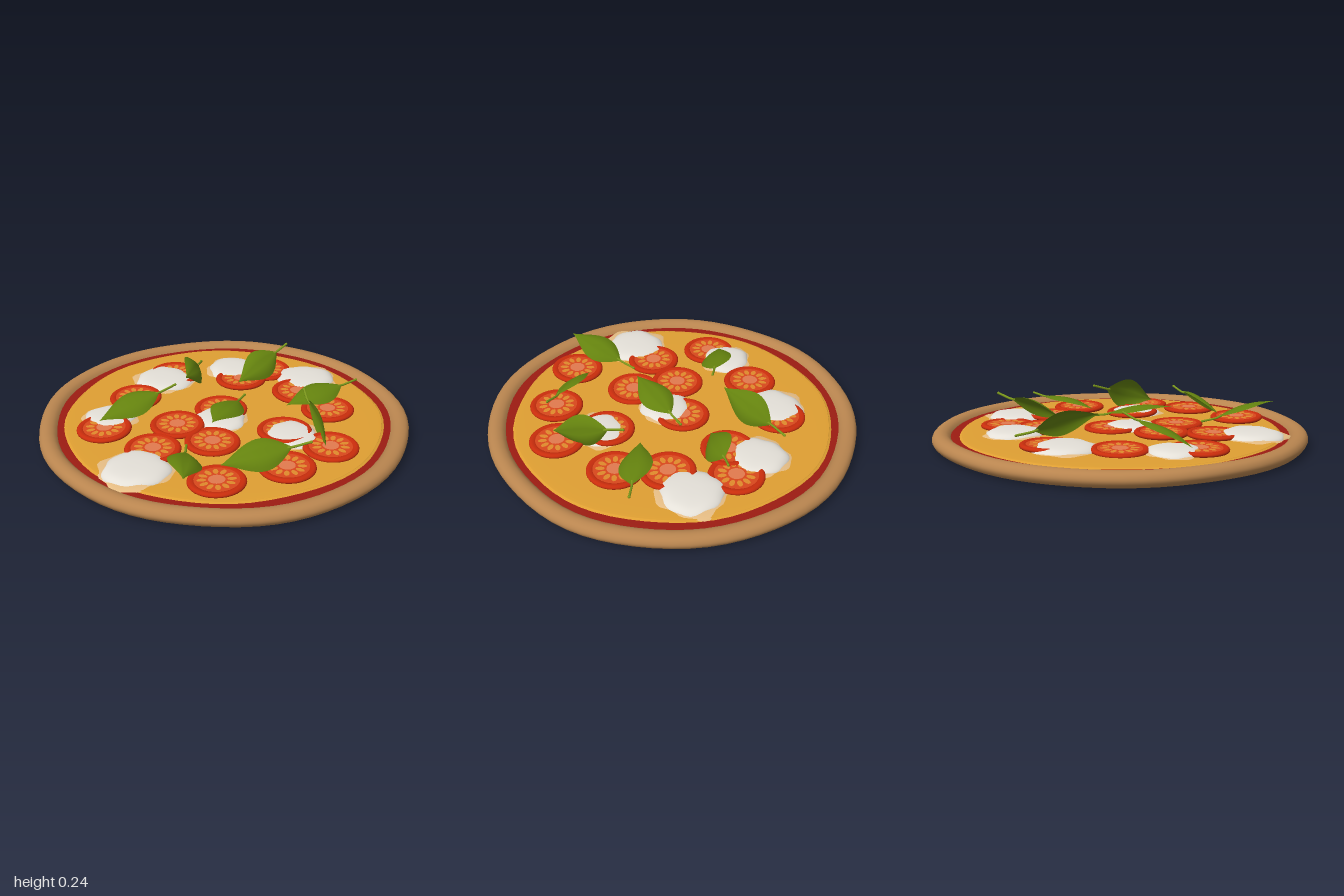
import * as THREE from 'three';
import { mergeGeometries } from 'three/addons/utils/BufferGeometryUtils.js';

const mat = (color, side = THREE.FrontSide) => new THREE.MeshStandardMaterial({ color, side });
const MATS = {
  crust: mat(0xb9854f), base: mat(0x6b4522), sauce: mat(0x9c1c12), cheese: mat(0xdf9f32),
  mozzarella: mat(0xe4e0d8), fringe: mat(0xe6bd84), skin: mat(0xc92d0c), flesh: mat(0xd9481c),
  seeds: mat(0xe08a2c), core: mat(0xe27a4e),
  leaf: mat(0x64820e, THREE.DoubleSide), stem: mat(0x7d9a1c),
};

function add(parent, name, geometry, material, x = 0, y = 0, z = 0) {
  const mesh = new THREE.Mesh(geometry, material);
  mesh.name = name;
  mesh.position.set(x, y, z);
  parent.add(mesh);
  return mesh;
}

// Smooth surface of revolution; profile runs from the bottom outwards, then up and in
function lathe(profile, segments) {
  const curve = new THREE.SplineCurve(profile.map(([r, y]) => new THREE.Vector2(r, y)));
  return new THREE.LatheGeometry(curve.getPoints(profile.length * 3), segments);
}

// Make a round geometry irregular by scaling its radius with the angle
function wobble(geometry, factor) {
  const p = geometry.attributes.position;
  for (let i = 0; i < p.count; i++) {
    const k = factor(Math.atan2(p.getZ(i), p.getX(i)));
    p.setXYZ(i, p.getX(i) * k, p.getY(i), p.getZ(i) * k);
  }
  return geometry;
}

const flatDisc = (radius, segments) => new THREE.CircleGeometry(radius, segments).rotateX(-Math.PI / 2);

// Tomato slice: raised skin ring, flesh, ring of seed pockets, pale core
const skinGeo = lathe([[0.13, 0], [0.143, 0.008], [0.144, 0.018], [0.134, 0.026], [0.118, 0.025], [0.108, 0.02]], 32);
const fleshGeo = flatDisc(0.115, 32);
const coreGeo = flatDisc(0.042, 16);
const seedGeo = mergeGeometries(Array.from({ length: 12 }, (_, i) =>
  flatDisc(1, 10).scale(0.024, 1, 0.014).translate(0.074, 0, 0).rotateY(i * Math.PI / 6)));

function tomato(x, z, i) {
  const g = new THREE.Group();
  g.name = 'tomatoSlice';
  g.position.set(x, 0.059 + 0.003 * (i % 3), z);
  g.rotation.set(0.02 * Math.sin(i * 2.1), i * 0.7, 0.02 * Math.cos(i * 1.7));
  add(g, 'tomatoSkin', skinGeo, MATS.skin);
  add(g, 'tomatoFlesh', fleshGeo, MATS.flesh, 0, 0.0225, 0);
  add(g, 'tomatoSeeds', seedGeo, MATS.seeds, 0, 0.0238, 0);
  add(g, 'tomatoCore', coreGeo, MATS.core, 0, 0.0242, 0);
  return g;
}

// Melted mozzarella: a low dome on a wider, thinner browned fringe
function mozzarella(x, z, r, i) {
  const g = new THREE.Group();
  g.name = 'mozzarella';
  g.position.set(x, 0.06, z);
  const dome = (radius, h) => lathe([[radius, 0], [radius * 0.94, h * 0.4], [radius * 0.75, h * 0.78],
    [radius * 0.4, h * 0.96], [0, h]], 40);
  add(g, 'mozzarellaDome', wobble(dome(r * 0.93, 0.037),
    a => 1 + 0.05 * Math.sin(3 * a + i) + 0.03 * Math.sin(7 * a + 2 * i)), MATS.mozzarella);
  add(g, 'mozzarellaFringe', wobble(dome(r * 1.06, 0.016),
    a => 1 + 0.07 * Math.sin(4 * a + i * 2) + 0.04 * Math.sin(9 * a + i)), MATS.fringe);
  return g;
}

// Basil leaf running from tip to stem end, its upper side towards "facing"
function basilLeaf(tip, stemEnd, facing) {
  const a = new THREE.Vector3(...tip), dir = new THREE.Vector3(...stemEnd).sub(a);
  const length = dir.length(), blade = length * 0.79;
  dir.normalize();
  const right = new THREE.Vector3(...facing).cross(dir).normalize();
  const up = dir.clone().cross(right);
  const g = new THREE.Group();
  g.name = 'basilLeaf';
  g.applyMatrix4(new THREE.Matrix4().makeBasis(right, up, dir).setPosition(a));

  // Blade: pointed at the tip, arched lengthwise, edges drooping from a creased midrib
  const geo = new THREE.PlaneGeometry(2, 1, 10, 18).rotateX(-Math.PI / 2);
  const p = geo.attributes.position;
  for (let i = 0; i < p.count; i++) {
    const u = p.getX(i), s = Math.min(1, Math.max(0, p.getZ(i) + 0.5));
    const w = 0.088 * Math.sin(Math.PI * Math.pow(s, 1.25));
    const y = 0.025 * Math.sin(Math.PI * s) + w * (0.22 * Math.abs(u) - 0.5 * u * u);
    p.setXYZ(i, u * w, y, s * blade);
  }
  geo.computeVertexNormals();
  add(g, 'leafBlade', geo, MATS.leaf);

  const path = new THREE.CatmullRomCurve3([
    new THREE.Vector3(0, 0.004, blade * 0.93), new THREE.Vector3(0, -0.002, blade),
    new THREE.Vector3(0, 0.001, length)]);
  add(g, 'leafStem', new THREE.TubeGeometry(path, 8, 0.0065, 6), MATS.stem);
  add(g, 'stemEnd', new THREE.SphereGeometry(0.0075, 8, 6), MATS.stem, 0, 0.001, length);
  return g;
}

export function createModel() {
  const model = new THREE.Group();
  model.name = 'pizza';

  // Dough with a slightly uneven rim
  const uneven = a => 0.993 + 0.004 * Math.sin(5 * a + 1) + 0.003 * Math.sin(9 * a);
  add(model, 'crust', wobble(lathe([[0.93, 0.001], [0.975, 0.008], [0.997, 0.03], [1, 0.052], [0.985, 0.074],
    [0.955, 0.083], [0.925, 0.076], [0.905, 0.058], [0.9, 0.045]], 72), uneven), MATS.crust);
  add(model, 'crustBottom', wobble(new THREE.CircleGeometry(0.95, 72).rotateX(Math.PI / 2), uneven), MATS.base);

  // Sauce and cheese layers
  add(model, 'sauce', lathe([[0.925, 0.055], [0.87, 0.058], [0.8, 0.058]], 64), MATS.sauce);
  add(model, 'cheese', wobble(lathe([[0.865, 0.054], [0.85, 0.062], [0.8, 0.066], [0.4, 0.068], [0, 0.068]], 64),
    a => 0.995 + 0.008 * Math.sin(3 * a) + 0.005 * Math.sin(8 * a)), MATS.cheese);

  // Tomato slices: x, z
  [[-0.43, -0.31], [-0.16, -0.55], [0.2, -0.38], [0.38, -0.48], [0.47, -0.15], [0.56, 0.1], [0.44, 0.48],
    [0.165, 0.615], [-0.2, 0.66], [-0.13, 0.28], [-0.44, 0.28], [-0.27, 0.07], [0, -0.06], [-0.65, 0.01],
    [0.26, 0.27]].forEach(([x, z], i) => model.add(tomato(x, z, i)));

  // Mozzarella: x, z, radius
  [[-0.23, -0.5, 0.18], [0.2, -0.54, 0.165], [0.57, -0.31, 0.18], [-0.6, -0.11, 0.15], [-0.03, 0.05, 0.15],
    [0.28, 0.31, 0.16], [-0.55, 0.44, 0.185]].forEach(([x, z, r], i) => model.add(mozzarella(x, z, r, i)));

  // Basil leaves: tip, stem end, facing
  [
    [[-0.67, 0.09, -0.05], [-0.235, 0.205, -0.15], [0, 1, 0.35]],
    [[-0.155, 0.195, -0.24], [0.02, 0.1, -0.63], [0.9, 0.5, 0]],
    [[0.155, 0.115, -0.27], [0.5, 0.23, -0.47], [-0.45, 0.3, 0.8]],
    [[0.34, 0.105, 0.05], [0.79, 0.148, -0.075], [0, 1, 0.25]],
    [[-0.125, 0.17, 0.255], [0.145, 0.12, -0.1], [0.3, 1, -0.2]],
    [[-0.16, 0.1, 0.56], [0.29, 0.19, 0.6], [0, 0.85, 0.6]],
    [[0.4, 0.1, 0.52], [0.415, 0.225, 0.11], [1, 0.2, 0]],
    [[-0.385, 0.185, 0.77], [-0.28, 0.105, 0.34], [0.3, 1, 0]],
  ].forEach(leaf => model.add(basilLeaf(...leaf)));

  return model;
}
